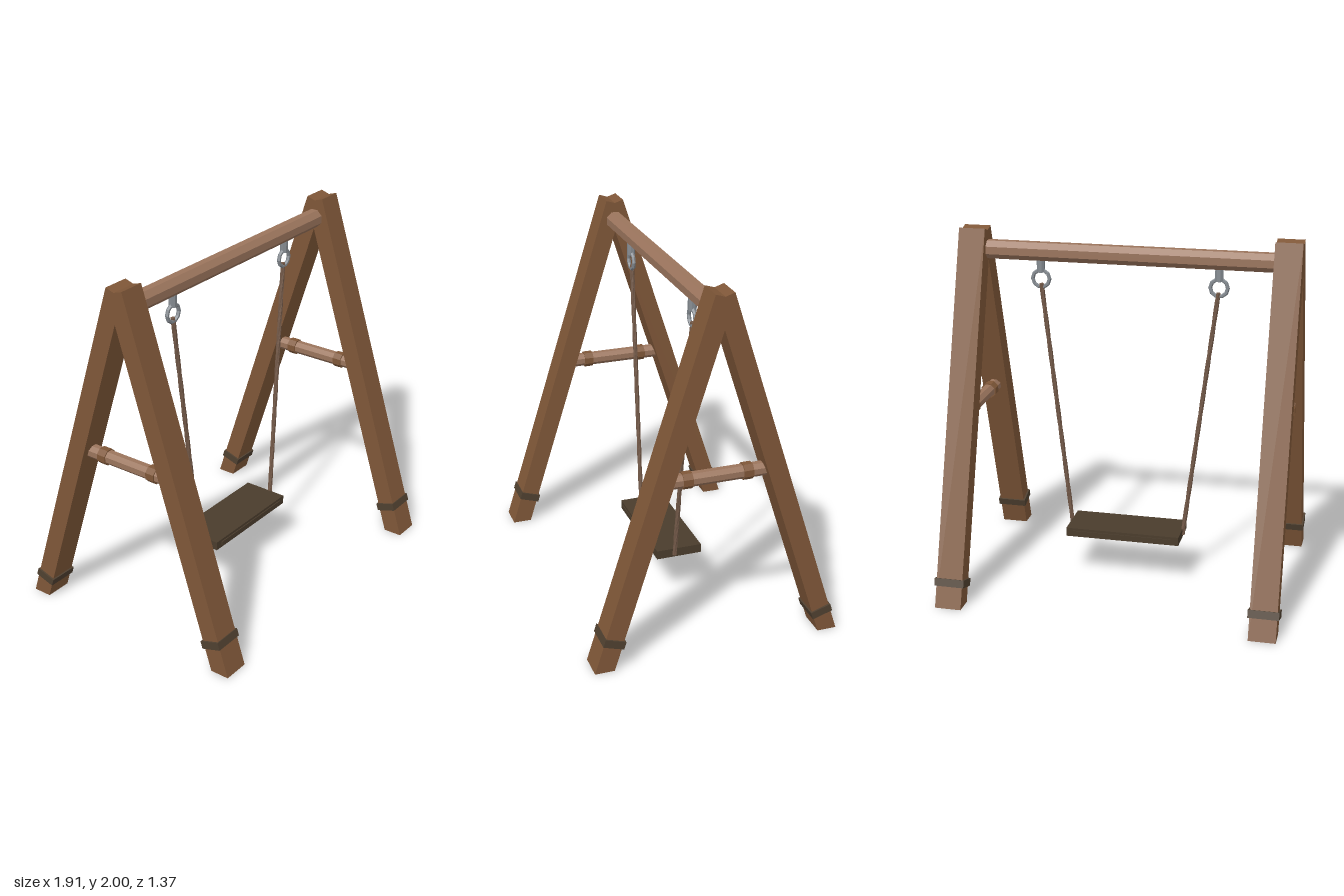
import * as THREE from 'three';

const mat = (name, color) => {
  const m = new THREE.MeshStandardMaterial({ color, flatShading: true });
  m.name = name;
  return m;
};

export function createModel() {
  const wood = mat('timber brown', 0x7f5738);
  const pole = mat('pole brown', 0x9a745c);
  const dark = mat('dark band brown', 0x4f4030);
  const plank = mat('seat brown', 0x4a3c2c);
  const ropeMat = mat('rope brown', 0x745a49);
  const metal = mat('grey metal', 0x868c92);

  const root = new THREE.Group();
  root.name = 'swing';
  const add = (parent, name, geo, material, x = 0, y = 0, z = 0) => {
    const mesh = new THREE.Mesh(geo, material);
    mesh.name = name;
    mesh.position.set(x, y, z);
    parent.add(mesh);
    return mesh;
  };

  // Eight-sided rod along y with a flat facing each axis
  const rod = (r, len) => new THREE.CylinderGeometry(r, r, len, 8).rotateY(Math.PI / 8);

  // Leaning leg: flat on the ground, mitred against its partner at the top
  const legShape = new THREE.Shape([
    [0.685, 0], [0.05, 2], [0, 1.984], [0, 1.815], [0.578, 0],
  ].map(([z, y]) => new THREE.Vector2(z, y)));
  const legWidth = 0.148;
  const legGeo = new THREE.ExtrudeGeometry(legShape, { depth: legWidth, bevelEnabled: false });
  legGeo.translate(0, 0, -legWidth / 2).rotateY(-Math.PI / 2);
  const lean = Math.atan(0.3175);

  // A-frames
  for (const side of [-1, 1]) {
    const frame = new THREE.Group();
    frame.name = side > 0 ? 'leftFrame' : 'rightFrame';
    frame.position.x = side * 0.87;
    root.add(frame);

    add(frame, 'frontLeg', legGeo, wood);
    add(frame, 'backLeg', legGeo, wood).rotation.y = Math.PI;

    const bandGeo = new THREE.BoxGeometry(0.168, 0.043, 0.117);
    add(frame, 'frontLegBand', bandGeo, dark, 0, 0.164, 0.578).rotation.x = -lean;
    add(frame, 'backLegBand', bandGeo, dark, 0, 0.122, -0.592).rotation.x = lean;

    add(frame, 'crossbar', rod(0.039, 0.58).rotateX(Math.PI / 2), pole, 0, 1.005, 0);
    for (const z of [-0.164, 0.164]) {
      add(frame, 'crossbarCollar', rod(0.046, 0.052).rotateX(Math.PI / 2), wood, 0, 1.005, z);
    }
  }

  // Top beam
  add(root, 'topBeam', rod(0.054, 1.62).rotateZ(Math.PI / 2), pole, 0, 1.88, 0);

  // Seat board with a narrow strip along the front and back edges
  add(root, 'seat', new THREE.BoxGeometry(0.653, 0.05, 0.26), plank, 0.013, 0.275, 0.005);
  add(root, 'seatEdgeStrip', new THREE.BoxGeometry(0.57, 0.022, 0.272), plank, 0.015, 0.275, 0.005);

  // Rope: slightly twisted prism stretched between two points
  const rope = (name, a, b) => {
    const dir = b.clone().sub(a);
    const geo = new THREE.CylinderGeometry(0.013, 0.013, dir.length(), 6, 30);
    const p = geo.attributes.position;
    const v = new THREE.Vector3();
    const up = new THREE.Vector3(0, 1, 0);
    for (let i = 0; i < p.count; i++) {
      v.fromBufferAttribute(p, i).applyAxisAngle(up, p.getY(i) * 6);
      p.setXYZ(i, v.x, v.y, v.z);
    }
    geo.computeVertexNormals();
    const mid = a.clone().add(b).multiplyScalar(0.5);
    add(root, name, geo, ropeMat, mid.x, mid.y, mid.z)
      .quaternion.setFromUnitVectors(up, dir.normalize());
  };

  // Eye bolts and ropes
  for (const [side, endX, endZ] of [[-1, -0.313, 0.01], [1, 0.343, 0.033]]) {
    const x = side * 0.496;
    add(root, 'eyeBolt', rod(0.023, 0.09), metal, x, 1.808, 0);
    add(root, 'eyeRing', new THREE.TorusGeometry(0.048, 0.011, 6, 10), metal, x, 1.727, 0);
    rope(side > 0 ? 'leftRope' : 'rightRope',
      new THREE.Vector3(endX, 0.265, endZ), new THREE.Vector3(side * 0.494, 1.7, -0.003));
  }

  return root;
}
